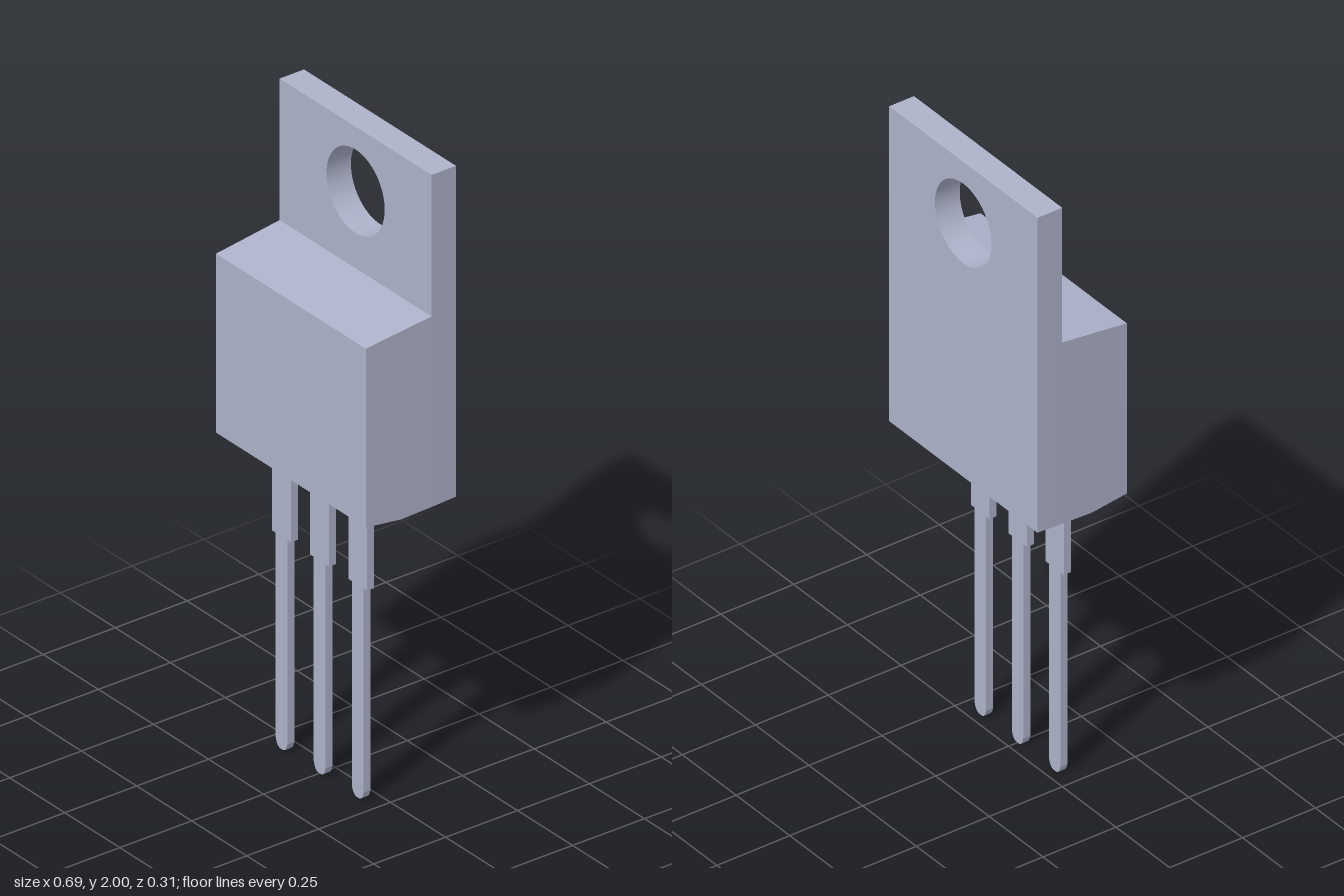
import * as THREE from 'three';

const metal = new THREE.MeshStandardMaterial({ color: 0xadb2c9 });
metal.name = 'greyBlue';

const shapeOf = (pts) => new THREE.Shape(pts.map(([x, y]) => new THREE.Vector2(x, y)));

function addPart(group, name, geometry) {
  const mesh = new THREE.Mesh(geometry, metal);
  mesh.name = name;
  group.add(mesh);
  return mesh;
}

// Move every vertex by a rule, then refresh the normals
function reshape(geometry, rule) {
  const p = geometry.attributes.position;
  const v = new THREE.Vector3();
  for (let i = 0; i < p.count; i++) {
    rule(v.fromBufferAttribute(p, i));
    p.setXYZ(i, v.x, v.y, v.z);
  }
  geometry.computeVertexNormals();
  return geometry;
}

const HALF = 0.345, BACK = -0.155, STEP = -0.07, FRONT = 0.155;

// Full-height back plate with a round mounting hole
function tabGeometry() {
  const shape = shapeOf([[-HALF, 0.955], [HALF, 0.955], [HALF, 2], [-HALF, 2]]);
  shape.holes.push(new THREE.Path().absarc(0, 1.796, 0.132, 0, Math.PI * 2, true));
  const g = new THREE.ExtrudeGeometry(shape, { depth: STEP - BACK, bevelEnabled: false, curveSegments: 48 });
  g.translate(0, 0, BACK);
  // underside slopes down towards the front
  const p = g.attributes.position;
  for (let i = 0; i < p.count; i++) {
    if (p.getY(i) < 0.96 && p.getZ(i) > STEP - 0.01) p.setY(i, 0.951);
  }
  return g;
}

// Moulded block: side profile extruded across x, narrowing slightly to the front
function bodyGeometry() {
  const profile = shapeOf([
    [-STEP, 0.951], [-STEP, 1.553], [-FRONT, 1.525], [-FRONT, 0.96], [-0.035, 0.946],
  ]);
  const g = new THREE.ExtrudeGeometry(profile, { depth: 2 * HALF, bevelEnabled: false });
  g.translate(0, 0, -HALF);
  g.rotateY(Math.PI / 2);
  return reshape(g, (v) => {
    v.x *= 1 - 0.014 * (v.z - STEP) / (FRONT - STEP);
  });
}

// Flat pin: wide shoulder, narrow shank, rounded tip
function legGeometry() {
  const half = [[0.008, 0], [0.016, 0.004], [0.022, 0.012], [0.027, 0.027], [0.027, 0.672], [0.043, 0.672], [0.043, 0.95]];
  const mirrored = half.map(([x, y]) => [-x, y]).reverse();
  const g = new THREE.ExtrudeGeometry(shapeOf([...half, ...mirrored]), { depth: 0.024, bevelEnabled: false });
  g.translate(0, 0, 0.031);
  return g;
}

export function createModel() {
  const model = new THREE.Group();
  model.name = 'threePinPackage';

  addPart(model, 'mountingTab', tabGeometry());
  addPart(model, 'body', bodyGeometry());

  const leg = legGeometry();
  [['rightLeg', -0.173], ['middleLeg', 0], ['leftLeg', 0.173]].forEach(([name, x]) => {
    addPart(model, name, leg).position.x = x;
  });
  return model;
}
